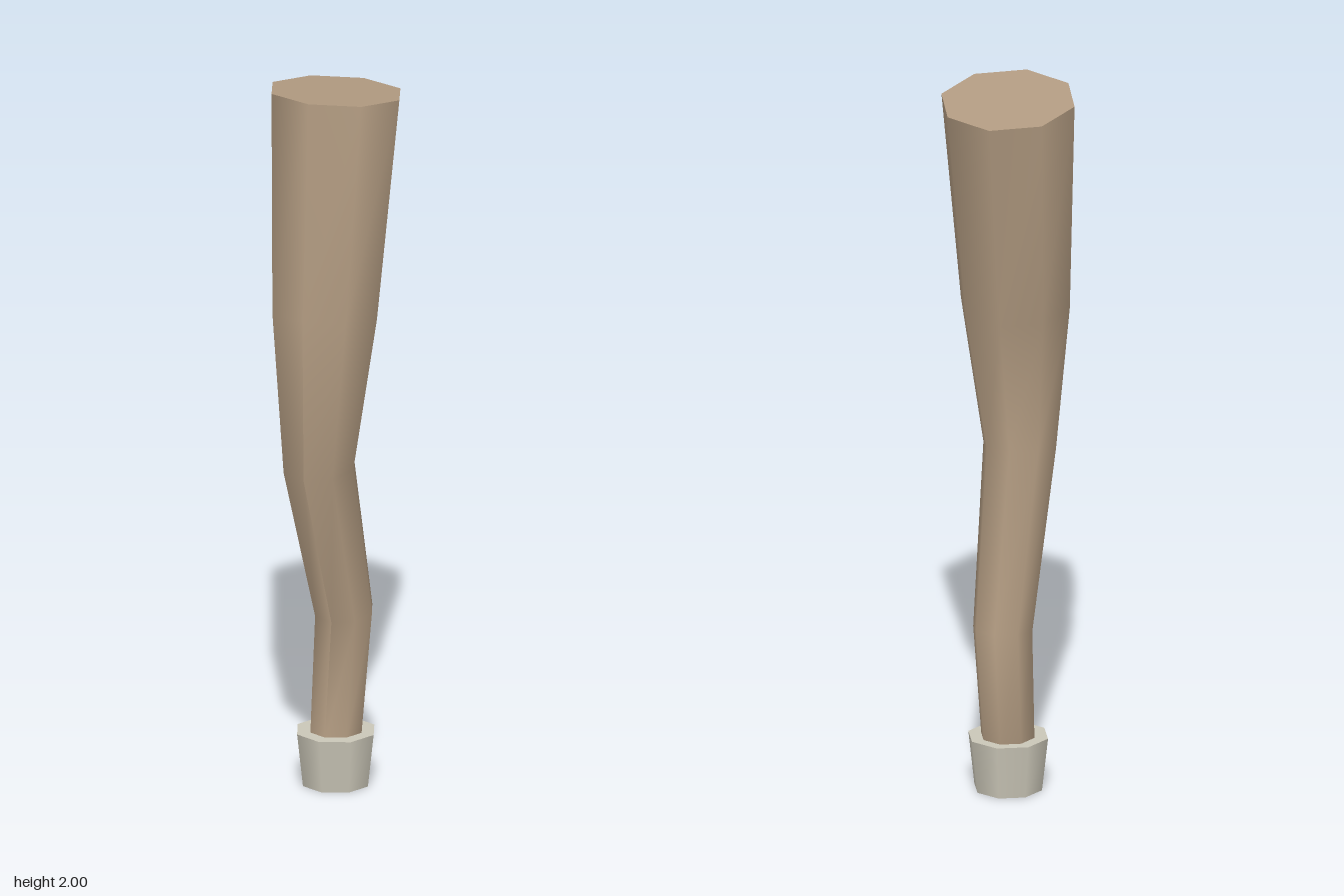
import * as THREE from 'three';

const SIDES = 8;

// Leg sections from top to bottom: centre y, centre z, radius, forward tilt
const SECTIONS = [
  [1.978, -0.02, 0.187, 0.12],
  [1.37, 0.053, 0.153, 0.12],
  [0.945, 0.096, 0.102, -0.14],
  [0.475, -0.072, 0.083, -0.12],
  [0.12, -0.017, 0.074, 0.15],
];

// Bends a unit cylinder so that each row of vertices follows one section
function legGeometry() {
  const rows = SECTIONS.length;
  const half = (rows - 1) / 2;
  const geometry = new THREE.CylinderGeometry(1, 1, rows - 1, SIDES, rows - 1);
  const position = geometry.attributes.position;
  for (let i = 0; i < position.count; i++) {
    const [y, z, radius, tilt] = SECTIONS[Math.round(half - position.getY(i))];
    const dz = position.getZ(i) * radius;
    position.setXYZ(i, position.getX(i) * radius, y + dz * tilt, z + dz);
  }
  geometry.computeVertexNormals();

  // Smooth the seam, which lies on the plane of symmetry
  const normal = geometry.attributes.normal;
  const n = new THREE.Vector3();
  for (let row = 0; row < rows; row++) {
    for (const i of [row * (SIDES + 1), row * (SIDES + 1) + SIDES]) {
      n.fromBufferAttribute(normal, i).setX(0).normalize();
      normal.setXYZ(i, n.x, n.y, n.z);
    }
  }
  return geometry;
}

export function createModel() {
  const model = new THREE.Group();
  model.name = 'hindLeg';

  // Bent, tapering leg
  const leg = new THREE.Mesh(
    legGeometry(),
    new THREE.MeshStandardMaterial({ color: 0xb39c82 })
  );
  leg.name = 'leg';
  model.add(leg);

  // Hoof, wider at the top
  const hoof = new THREE.Mesh(
    new THREE.CylinderGeometry(0.112, 0.095, 0.15, SIDES),
    new THREE.MeshStandardMaterial({ color: 0xcbc7b8 })
  );
  hoof.name = 'hoof';
  hoof.position.set(0, 0.075, -0.018);
  model.add(hoof);

  return model;
}
